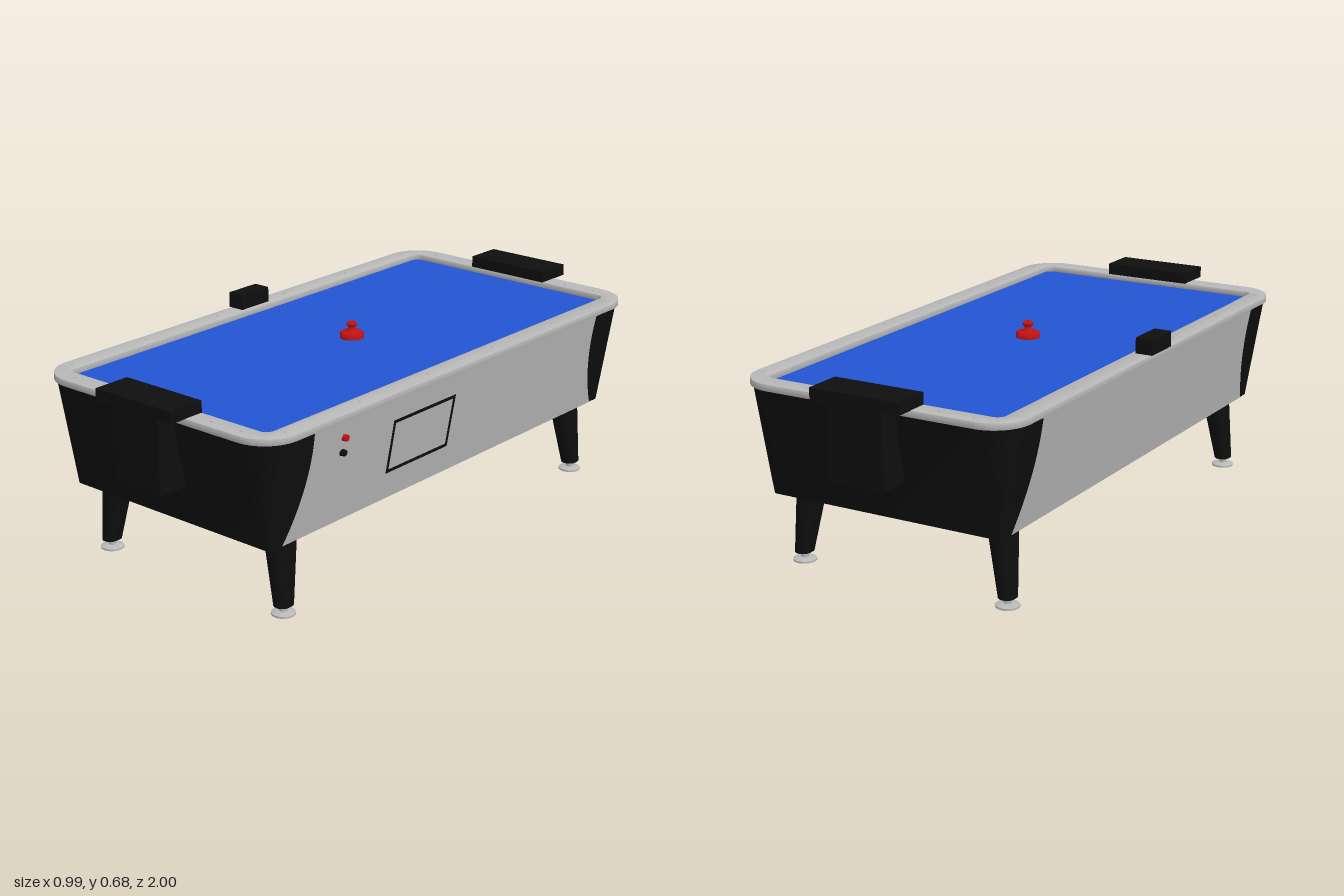
import * as THREE from 'three';
import { toCreasedNormals } from 'three/addons/utils/BufferGeometryUtils.js';

const material = (name, color) => {
  const m = new THREE.MeshStandardMaterial({ color });
  m.name = name;
  return m;
};

// Closed solid through rounded-rectangle sections { y, a, b, r, x, z } listed bottom to top
function loft(sections, steps = 8) {
  const pos = [], index = [], n = 4 * (steps + 1);
  for (const { y, a, b, r, x = 0, z = 0 } of sections) {
    for (let q = 0; q < 4; q++) {
      const sx = q === 0 || q === 3 ? 1 : -1, sz = q < 2 ? 1 : -1;
      for (let i = 0; i <= steps; i++) {
        const t = (q + i / steps) * Math.PI / 2;
        pos.push(x + sx * (a - r) + r * Math.cos(t), y, z + sz * (b - r) + r * Math.sin(t));
      }
    }
  }
  const last = sections.length - 1;
  for (let s = 0; s < last; s++) {
    for (let i = 0; i < n; i++) {
      const p = s * n + i, q = s * n + (i + 1) % n;
      index.push(p, p + n, q, q, p + n, q + n);
    }
  }
  for (let i = 1; i < n - 1; i++) {
    index.push(0, i, i + 1, last * n, last * n + i + 1, last * n + i);
  }
  const g = new THREE.BufferGeometry();
  g.setAttribute('position', new THREE.Float32BufferAttribute(pos, 3));
  g.setIndex(index);
  return toCreasedNormals(g, 0.6);
}

function roundedRect(path, a, b, r) {
  path.moveTo(a, -b + r);
  path.absarc(a - r, b - r, r, 0, Math.PI / 2);
  path.absarc(-a + r, b - r, r, Math.PI / 2, Math.PI);
  path.absarc(-a + r, -b + r, r, Math.PI, Math.PI * 1.5);
  path.absarc(a - r, -b + r, r, Math.PI * 1.5, Math.PI * 2);
  return path;
}

// Half width of the sloping cabinet at height y
const sideX = (y) => 0.415 + (y - 0.25) / 0.355 * 0.065;

// Lay a flat (z, y) shape on one sloping side of the cabinet
function onSide(shape, side, lift) {
  const g = new THREE.ShapeGeometry(shape, 16), p = g.attributes.position;
  for (let i = 0; i < p.count; i++) {
    const u = p.getX(i), y = p.getY(i);
    p.setXYZ(i, side * (sideX(y) + lift), y, -side * u);
  }
  g.computeVertexNormals();
  return g;
}

export function createModel() {
  const black = material('black', 0x0e0e0e);
  const silver = material('silver', 0xb8b8b8);
  const blue = material('blue', 0x2254d2);
  const red = material('red', 0xc01212);
  const model = new THREE.Group();
  model.name = 'airHockeyTable';

  const add = (name, geometry, mat, x = 0, y = 0, z = 0) => {
    const mesh = new THREE.Mesh(geometry, mat);
    mesh.name = name;
    mesh.position.set(x, y, z);
    model.add(mesh);
    return mesh;
  };
  const box = (name, mat, x0, x1, y0, y1, z0, z1) => add(name,
    new THREE.BoxGeometry(x1 - x0, y1 - y0, z1 - z0), mat,
    (x0 + x1) / 2, (y0 + y1) / 2, (z0 + z1) / 2);

  // Cabinet: sharp at the foot, rounder towards the rail
  add('cabinet', loft([
    { y: 0.25, a: 0.415, b: 0.865, r: 0.015 },
    { y: 0.605, a: 0.48, b: 0.93, r: 0.11 },
  ]), black);

  // Playing surface
  add('playingSurface', loft([
    { y: 0.602, a: 0.425, b: 0.875, r: 0.03 },
    { y: 0.608, a: 0.425, b: 0.875, r: 0.03 },
  ]), blue);

  // Rail
  const bevel = 0.003;
  const railShape = roundedRect(new THREE.Shape(), 0.49 - bevel, 0.94 - bevel, 0.12);
  railShape.holes.push(roundedRect(new THREE.Path(), 0.42 + bevel, 0.87 + bevel, 0.03));
  const rail = new THREE.ExtrudeGeometry(railShape, {
    depth: 0.017, bevelThickness: bevel, bevelSize: bevel, bevelSegments: 2, curveSegments: 12,
  });
  rail.rotateX(-Math.PI / 2);
  add('rail', toCreasedNormals(rail, 0.6), silver, 0, 0.608, 0);

  // Rail screws
  const screw = new THREE.CylinderGeometry(0.004, 0.005, 0.003, 10);
  for (const s of [-1, 1]) {
    for (const x of [-0.355, -0.235, 0.235, 0.355]) add('railScrew', screw, silver, x, 0.6295, s * 0.905);
    for (const z of [-0.83, -0.5, -0.17, 0.17, 0.5, 0.83]) add('railScrew', screw, silver, s * 0.455, 0.6295, z);
  }

  // Silver side panels with curved ends
  const panel = new THREE.Shape();
  panel.moveTo(-0.81, 0.25);
  panel.lineTo(0.81, 0.25);
  panel.bezierCurveTo(0.75, 0.36, 0.72, 0.48, 0.733, 0.605);
  panel.lineTo(-0.733, 0.605);
  panel.bezierCurveTo(-0.72, 0.48, -0.75, 0.36, -0.81, 0.25);
  for (const s of [-1, 1]) add('sidePanel', onSide(panel, s, 0.002), silver);

  // Access door outline on the left side
  const rect = (path, u0, u1, v0, v1) => {
    path.moveTo(u0, v0);
    path.lineTo(u1, v0);
    path.lineTo(u1, v1);
    path.lineTo(u0, v1);
    path.closePath();
    return path;
  };
  const frame = rect(new THREE.Shape(), -0.355, -0.045, 0.345, 0.53);
  frame.holes.push(rect(new THREE.Path(), -0.343, -0.057, 0.357, 0.518));
  add('doorFrame', onSide(frame, 1, 0.005), black);

  // Control buttons
  for (const [name, y, mat] of [['startButton', 0.545, red], ['coinButton', 0.495, black]]) {
    const g = new THREE.CylinderGeometry(0.01, 0.012, 0.018, 20);
    g.rotateZ(-Math.PI / 2);
    add(name, g, mat, sideX(y) + 0.006, y, 0.59);
  }

  // Goal hoods and puck chutes at both ends
  for (const s of [-1, 1]) {
    const z = [s * 0.87, s * 1.0].sort((a, b) => a - b);
    const c = [s * 0.875, s * 0.996].sort((a, b) => a - b);
    box('goalHood', black, -0.157, 0.159, 0.627, 0.666, ...z);
    box('puckChute', black, -0.096, 0.1, 0.382, 0.63, ...c);
  }

  // Score box
  box('scoreBox', black, -0.496, -0.436, 0.628, 0.68, -0.066, 0.066);

  // Splayed legs with levelling feet
  const foot = [[0, 0], [0.038, 0], [0.038, 0.006], [0.03, 0.01], [0.013, 0.012], [0.013, 0.034], [0, 0.034]]
    .map(([x, y]) => new THREE.Vector2(x, y));
  const footGeometry = toCreasedNormals(new THREE.LatheGeometry(foot, 24), 0.6);
  for (const sx of [-1, 1]) {
    for (const sz of [-1, 1]) {
      add('leg', loft([
        { y: 0.03, a: 0.027, b: 0.033, r: 0.026, x: sx * 0.377, z: sz * 0.763 },
        { y: 0.255, a: 0.04, b: 0.054, r: 0.036, x: sx * 0.35, z: sz * 0.745 },
      ]), black);
      add('foot', footGeometry, silver, sx * 0.376, 0, sz * 0.763);
    }
  }

  // Mallet
  const mallet = [[0, 0], [0.04, 0], [0.04, 0.014], [0.036, 0.02], [0.018, 0.022], [0.012, 0.028],
    [0.011, 0.036], [0.017, 0.042], [0.018, 0.048], [0.013, 0.054], [0, 0.056]]
    .map(([x, y]) => new THREE.Vector2(x, y));
  add('mallet', toCreasedNormals(new THREE.LatheGeometry(mallet, 28), 0.7), red, 0, 0.608, 0);

  return model;
}
